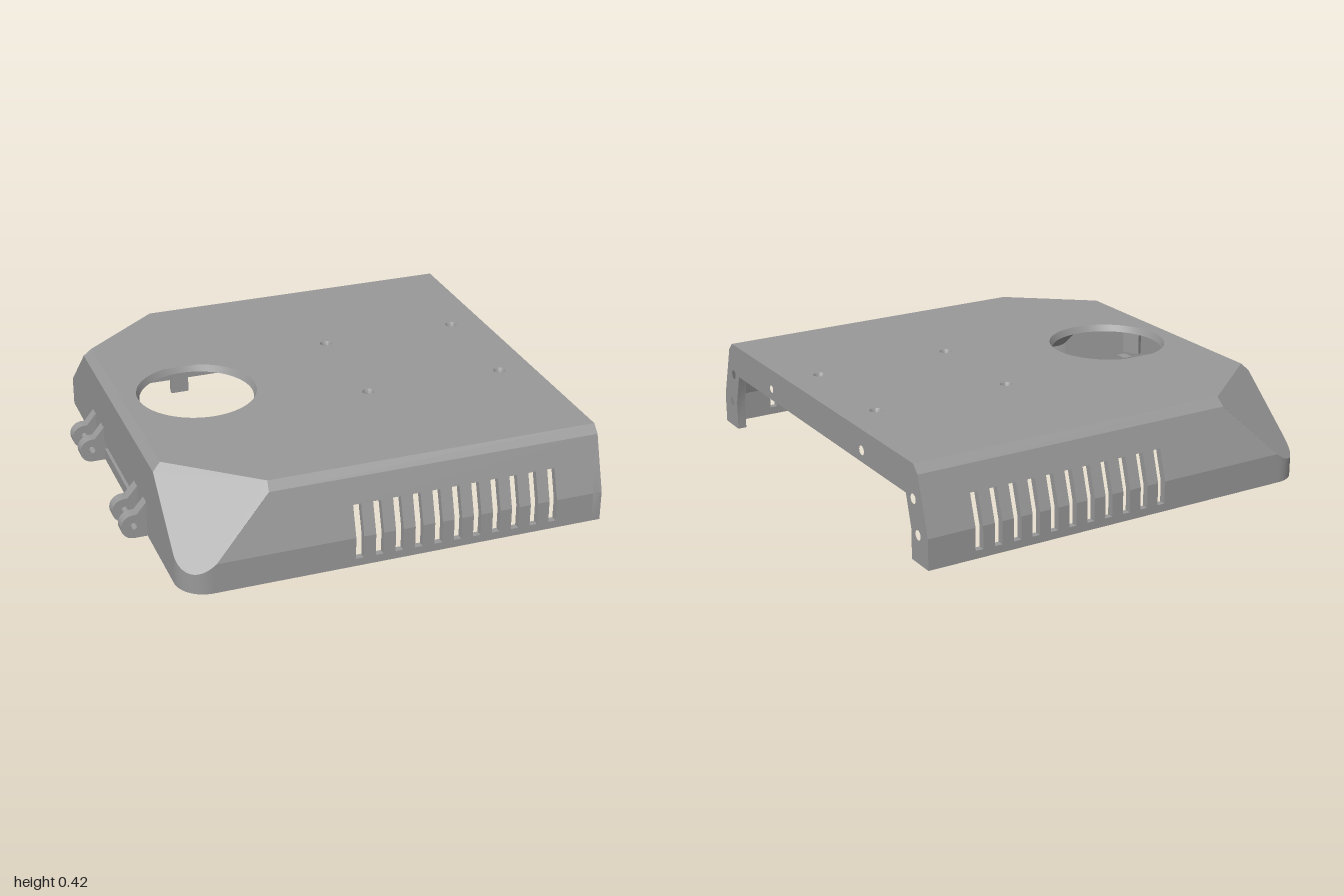
import * as THREE from 'three';
import { toCreasedNormals } from 'three/addons/utils/BufferGeometryUtils.js';

const grey = new THREE.MeshStandardMaterial({ color: 0x999999 });
grey.name = 'grey plastic';

const T = 0.03;                       // wall thickness
const END = 0.997, BACK = -0.885, SIDE = 0.995, TOP = 0.415;
const R = 0.13, CX = BACK + R, CZ = SIDE - R;   // rounded vertical corner
const HOLE = [-0.515, 0];

// height of the sloping corner facet above a point (x, |z|)
const facetY = (x, z) => (0.1796 + 0.084 * x - 0.1022 * z) / 0.1167;

export function createModel() {
  const model = new THREE.Group();
  model.name = 'vented cover';

  const add = (name, geometry, x = 0, y = 0, z = 0) => {
    const mesh = new THREE.Mesh(geometry, grey);
    mesh.name = name;
    mesh.position.set(x, y, z);
    model.add(mesh);
    return mesh;
  };
  const box = (name, x0, x1, y0, y1, z0, z1) =>
    add(name, new THREE.BoxGeometry(x1 - x0, y1 - y0, z1 - z0), (x0 + x1) / 2, (y0 + y1) / 2, (z0 + z1) / 2);

  // flat wall panel: outline (and holes) on the outside, thickened inwards
  const plate = (name, outline, holes = [], depth = T) => {
    const pts = outline.map(p => new THREE.Vector3(...p));
    const n = new THREE.Vector3();
    pts.forEach((p, i) => n.add(p.clone().cross(pts[(i + 1) % pts.length])));
    n.normalize();
    const o = pts[0];
    if (n.dot(o.clone().sub(new THREE.Vector3(0, 0.1, 0))) < 0) n.negate();
    const u = pts[1].clone().sub(o).normalize();
    const v = n.clone().cross(u);
    const flat = p => {
      const d = new THREE.Vector3(...p).sub(o);
      return new THREE.Vector2(d.dot(u), d.dot(v));
    };
    const shape = new THREE.Shape(outline.map(flat));
    shape.holes = holes.map(h => new THREE.Path(h.map(flat)));
    const g = new THREE.ExtrudeGeometry(shape, { depth, bevelEnabled: false });
    g.translate(0, 0, -depth);
    g.applyMatrix4(new THREE.Matrix4().makeBasis(u, v, n).setPosition(o));
    add(name, toCreasedNormals(g, 0.5));
  };
  const ring = (a, b, r, to3, n = 20) => Array.from({ length: n }, (_, i) => {
    const t = i / n * Math.PI * 2;
    return to3(a + r * Math.cos(t), b + r * Math.sin(t));
  });

  // roof with fan opening and screw holes
  const screws = [[0.2, 0.27], [0.2, -0.27], [0.84, 0.27], [0.84, -0.27]];
  const onRoof = (x, z) => [x, TOP, z];
  plate('roof', [[-0.85, 0.585], [-0.485, 0.885], [END, 0.885], [END, -0.885], [-0.485, -0.885], [-0.85, -0.585]]
    .map(p => onRoof(...p)),
  [ring(...HOLE, 0.268, onRoof, 64), ...screws.map(s => ring(...s, 0.028, onRoof))]);

  // tapered lip of the round opening
  const lathe = (name, profile, x, z, seg) => add(name, toCreasedNormals(
    new THREE.LatheGeometry(profile.map(p => new THREE.Vector2(...p)), seg), 0.5), x, 0, z);
  lathe('openingLip', [[0.268, TOP], [0.255, TOP - T], [0.27, TOP - T]], ...HOLE, 64);

  // countersunk screw bosses under the roof
  for (const s of screws)
    lathe('screwBoss', [[0.028, TOP], [0.018, 0.395], [0.018, 0.3], [0.035, 0.3], [0.035, 0.39]], ...s, 20);

  // three clips hanging around the opening
  for (const deg of [-90, 30, 150]) {
    const a = deg * Math.PI / 180;
    const clip = add('clip', new THREE.BoxGeometry(0.025, 0.11, 0.08),
      HOLE[0] + 0.285 * Math.cos(a), 0.335, 0.285 * Math.sin(a));
    clip.rotation.y = -a;
  }

  // side walls, mirrored front and back
  const slots = Array.from({ length: 11 }, (_, i) => -0.12 + i * 0.0885);
  const W = 0.0175;
  const slopeZ = y => SIDE - 0.075 * (y - 0.135) / 0.245;
  for (const s of [1, -1]) {
    const m = pts => pts.map(([x, y, z]) => [x, y, z * s]);
    // edge at the bend, notched up or down to height y for the vent slots
    const comb = y => slots.flatMap(x => [[x - W, 0.135], [x - W, y], [x + W, y], [x + W, 0.135]])
      .map(([x, h]) => [x, h, h > 0.135 ? slopeZ(h) : SIDE]);
    plate('roofEdge', m([[-0.485, TOP, 0.885], [END, TOP, 0.885], [END, 0.38, 0.92], [-0.49, 0.38, 0.92]]));
    plate('upperSide', m([[END, 0.135, SIDE], [END, 0.38, 0.92], [-0.49, 0.38, 0.92],
      [-0.74, 0.135, SIDE], ...comb(0.27)]));
    plate('lowerSide', m([[END, 0.135, SIDE], [END, 0, SIDE], [CX, 0, SIDE],
      [CX, facetY(CX, SIDE), SIDE], [-0.74, 0.135, SIDE], ...comb(0.035)]));

    // sloping corner facet meeting the rounded corner
    const N = 16;
    const arc = Array.from({ length: N + 1 }, (_, i) => {
      const a = i / N * Math.PI / 2;
      return [-Math.sin(a), Math.cos(a)];
    });
    plate('cornerFacet', m([[-0.85, TOP, 0.585], [-0.485, TOP, 0.885], [-0.49, 0.38, 0.92], [-0.74, 0.135, SIDE],
      ...arc.map(([c, d]) => [CX + R * c, facetY(CX + R * c, CZ + R * d), CZ + R * d]),
      [BACK, 0.38, 0.597]]));

    // rounded corner wall, a four-point section swept around the arc
    const pos = [], idx = [];
    arc.forEach(([c, d], i) => {
      const h = facetY(CX + R * c, CZ + R * d);
      for (const [r, y] of [[R, 0], [R, h], [R - T, h], [R - T, 0]])
        pos.push(CX + r * c, y, s * (CZ + r * d));
      if (i < N) for (let k = 0; k < 4; k++) {
        const a = i * 4 + k, b = i * 4 + (k + 1) % 4, e = a + 4, f = b + 4;
        idx.push(...(s > 0 ? [a, b, f, a, f, e] : [a, f, b, a, e, f]));
      }
    });
    const g = new THREE.BufferGeometry();
    g.setAttribute('position', new THREE.Float32BufferAttribute(pos, 3));
    g.setIndex(idx);
    add('roundedCorner', toCreasedNormals(g, 0.6));

    // hinge lugs
    for (const z of [0.29, 0.4375]) {
      const lug = new THREE.Shape();
      lug.moveTo(-0.87, 0);
      lug.lineTo(-0.944, 0);
      lug.absarc(-0.944, 0.056, 0.056, -Math.PI / 2, Math.PI / 2, true);
      lug.lineTo(-0.93, 0.112);
      lug.lineTo(BACK, 0.165);
      lug.lineTo(-0.87, 0.165);
      lug.holes.push(new THREE.Path().absarc(-0.944, 0.058, 0.016, 0, Math.PI * 2));
      const lg = new THREE.ExtrudeGeometry(lug, { depth: 0.052, bevelEnabled: false });
      add('hingeLug', toCreasedNormals(lg, 0.5), 0, 0, s * z - 0.026);
    }
    // posts framing the port on the inside
    box('portPost', -0.86, -0.825, 0, 0.15, s * 0.305 - 0.03, s * 0.305 + 0.03);
    box('portPostCap', -0.86, -0.81, 0.15, 0.205, s * 0.305 - 0.03, s * 0.305 + 0.03);
  }

  // hinge wall with the narrow port
  const q = facetY(BACK, CZ);
  plate('hingeWall', [[0, CZ], [q, CZ], [0.38, 0.597], [0.38, -0.597], [q, -CZ], [0, -CZ]].map(([y, z]) => [BACK, y, z]),
    [[[0.055, 0.27], [0.088, 0.27], [0.088, -0.27], [0.055, -0.27]].map(([y, z]) => [BACK, y, z])]);
  plate('hingeWallEdge', [[BACK, 0.38, 0.597], [-0.85, TOP, 0.585], [-0.85, TOP, -0.585], [BACK, 0.38, -0.597]]);
  box('portUpperRail', -0.86, -0.835, 0.088, 0.125, -0.28, 0.28);
  box('portLowerRail', -0.86, -0.835, 0, 0.02, -0.28, 0.28);

  // open end frame with legs and screw holes
  const half = [[0.86, 0], [SIDE, 0], [SIDE, 0.135], [0.92, 0.38], [0.885, TOP]];
  const onEnd = (z, y) => [END, y, z];
  const inner = [[0.82, 0.27], [0.86, 0.13]];
  plate('endFrame', [...half, ...half.map(([z, y]) => [-z, y]).reverse(),
    ...inner.map(([z, y]) => [-z, y]).reverse(), ...inner].map(p => onEnd(...p)),
  [[0.88, 0.265, 0.021], [0.915, 0.122, 0.021], [-0.88, 0.265, 0.021], [-0.915, 0.122, 0.021],
    [0.447, 0.322, 0.017], [-0.44, 0.322, 0.021]].map(([z, y, r]) => ring(z, y, r, onEnd)), 0.04);

  // holder rails under the roof
  box('holderRail', -0.21, 0.8, 0.325, 0.39, 0.355, 0.385);
  box('holderRail', -0.23, 0.78, 0.325, 0.39, 0.8, 0.83);
  for (const x of [-0.21, 0.75]) box('holderStop', x, x + 0.05, 0.3, 0.39, 0.77, 0.83);
  box('innerBlock', -0.54, -0.3, 0.31, 0.39, -0.54, -0.48);

  return model;
}
